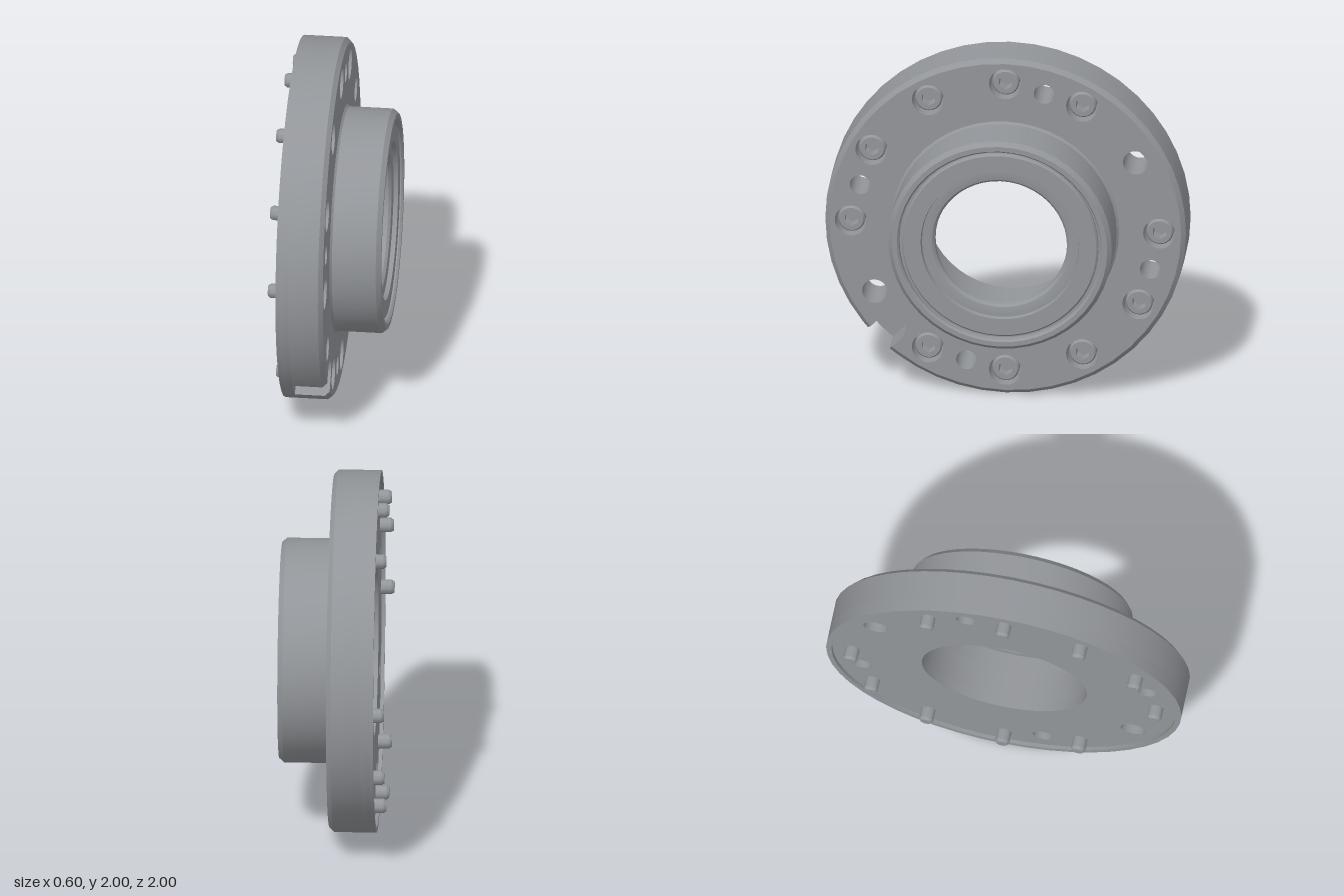
import * as THREE from 'three';
import { toCreasedNormals } from 'three/addons/utils/BufferGeometryUtils.js';

const SEG = 48;
const rad = THREE.MathUtils.degToRad;
const polar = (r, deg) => new THREE.Vector2(r * Math.cos(rad(deg)), r * Math.sin(rad(deg)));

// Closed polygon approximating a circle
function circle(r, n = SEG, c = new THREE.Vector2(), start = 0) {
  return Array.from({ length: n }, (_, i) => polar(r, start + i * 360 / n).add(c));
}

// Plate with holes, extruded along x from x0 to x1
function plate(outline, holes, x0, x1) {
  const shape = new THREE.Shape(outline);
  shape.holes = holes.map((h) => new THREE.Path(h));
  const g = new THREE.ExtrudeGeometry(shape, { depth: x1 - x0, bevelEnabled: false });
  return g.rotateY(Math.PI / 2).translate(x0, 0, 0);
}

// Revolved profile of [radius, x] pairs about the x axis
function revolve(profile, n = SEG) {
  const g = new THREE.LatheGeometry(profile.map(([r, x]) => new THREE.Vector2(r, x)), n);
  return g.rotateZ(-Math.PI / 2);
}

// Disc outline with a round-ended notch cut into the rim
function notchedDisc() {
  const at = 225, w = 0.085, centre = 0.895;
  const half = THREE.MathUtils.radToDeg(Math.asin(w));
  const pts = [polar(1, at + half)];
  for (let a = at + 7.5; a <= at + 352.5; a += 360 / SEG) pts.push(polar(1, a));
  pts.push(polar(1, at - half));
  const c = polar(centre, at);
  for (let i = 0; i <= 14; i++) pts.push(polar(w, at - 90 - i * 180 / 14).add(c));
  return pts;
}

export function createModel() {
  const steel = new THREE.MeshStandardMaterial({ color: 0x929599 });
  steel.name = 'steelGrey';
  const model = new THREE.Group();
  model.name = 'flangedHub';
  const body = new THREE.Group();
  body.position.y = 1;
  model.add(body);

  const add = (parent, name, geometry) => {
    const mesh = new THREE.Mesh(toCreasedNormals(geometry, 0.45), steel);
    mesh.name = name;
    parent.add(mesh);
    return mesh;
  };

  const screwAngles = [0, 60, 90, 120, 150, 180, 240, 270, 300, 330];
  const bore = circle(0.465);
  const through = [
    ...[75, 165, 255, 345].map((a) => circle(0.057, 20, polar(0.833, a))),
    ...[30, 210].map((a) => circle(0.07, 24, polar(0.835, a))),
  ];
  const counterbores = screwAngles.map((a) => circle(0.09, 24, polar(0.855, a)));
  const frontHoles = [bore, ...through, ...counterbores];

  // Flange: raised back rim, back plate, notched front and chamfered face
  add(body, 'backRim', plate(circle(1), [circle(0.97)], -0.245, -0.225));
  add(body, 'backPlate', plate(circle(1), [bore, ...through], -0.225, -0.175));
  add(body, 'flangeFront', plate(notchedDisc(), frontHoles, -0.175, -0.01));
  const face = plate(notchedDisc(), frontHoles, -0.01, 0.015);
  const p = face.attributes.position;
  for (let i = 0; i < p.count; i++) {
    const r = Math.hypot(p.getY(i), p.getZ(i));
    if (p.getX(i) > 0 && r > 0.985) {
      p.setY(i, p.getY(i) * 0.975 / r);
      p.setZ(i, p.getZ(i) * 0.975 / r);
    }
  }
  add(body, 'chamferedFace', face);

  // Hub with stepped mouth, inner lip and stepped bore
  add(body, 'hub', revolve([
    [0.632, 0.015], [0.62, 0.027], [0.62, 0.27], [0.597, 0.297],
    [0.57, 0.297], [0.56, 0.285], [0.56, 0.25], [0.545, 0.25],
    [0.545, 0.27], [0.535, 0.28], [0.44, 0.28], [0.435, 0.255],
    [0.405, 0.255], [0.38, 0.25], [0.367, 0.235], [0.365, 0.2],
    [0.41, 0.2], [0.41, 0.135], [0.425, 0.12], [0.425, 0.085],
    [0.465, 0.085], [0.465, 0.015],
  ]));

  // Socket-head screws whose tips stick out of the back
  const screwBody = revolve([
    [0, -0.3], [0.03, -0.3], [0.04, -0.285], [0.04, -0.17],
    [0.075, -0.17], [0.075, -0.017], [0.066, -0.005],
  ], 24);
  const hex = circle(0.042, 6, undefined, 30);
  const screwTop = plate(circle(0.066, 24), [hex], -0.07, -0.005);
  const socketFloor = plate(hex, [], -0.075, -0.07);
  screwAngles.forEach((a) => {
    const screw = new THREE.Group();
    screw.name = 'screw';
    const c = polar(0.855, a);
    screw.position.set(0, c.y, -c.x);
    add(screw, 'screwBody', screwBody);
    add(screw, 'screwHeadTop', screwTop);
    add(screw, 'socketFloor', socketFloor);
    body.add(screw);
  });

  return model;
}
